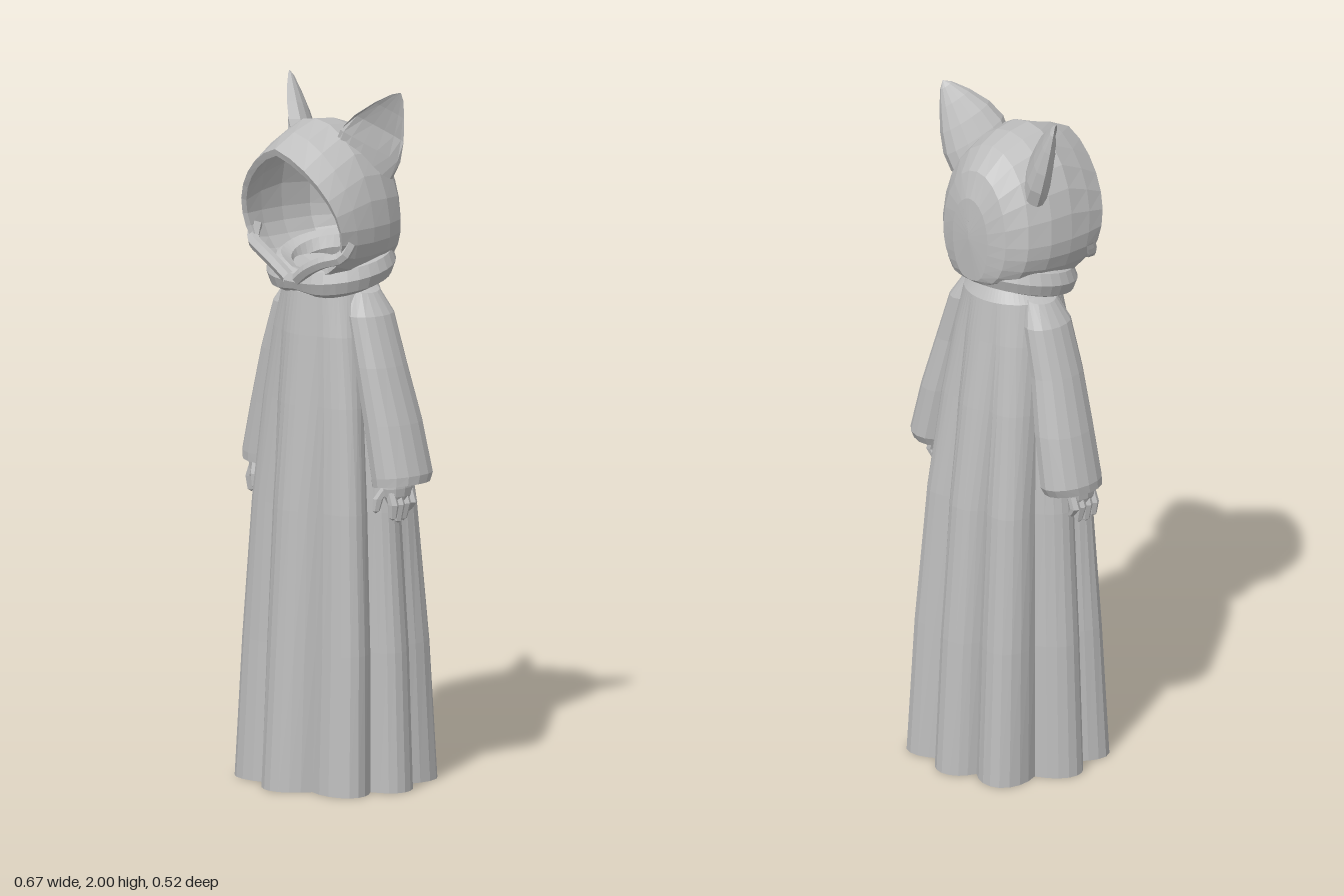
import * as THREE from 'three';

const V = (x, y, z) => new THREE.Vector3(x, y, z);
const cloth = new THREE.MeshStandardMaterial({ color: 0xbdbdbd, side: THREE.DoubleSide });
cloth.name = 'grey cloth';

// Faceted mesh
function part(name, geometry) {
  const g = geometry.index ? geometry.toNonIndexed() : geometry;
  g.computeVertexNormals();
  const mesh = new THREE.Mesh(g, cloth);
  mesh.name = name;
  return mesh;
}

// Skin a list of closed rings that all have the same number of points
function loft(rings) {
  const n = rings[0].length, pos = [], idx = [];
  rings.forEach(r => r.forEach(p => pos.push(p.x, p.y, p.z)));
  for (let k = 0; k < rings.length - 1; k++) {
    for (let i = 0; i < n; i++) {
      const a = k * n + i, b = k * n + (i + 1) % n;
      idx.push(a, b, b + n, a, b + n, a + n);
    }
  }
  const g = new THREE.BufferGeometry();
  g.setAttribute('position', new THREE.Float32BufferAttribute(pos, 3));
  g.setIndex(idx);
  return g;
}

const ring = (n, fn) => Array.from({ length: n }, (_, i) => fn(i / n * Math.PI * 2));

// Robe: eight rounded folds that fade towards the shoulders, with an inner lining
function robe() {
  // y, half width, half depth, z centre, fold depth
  const rows = [
    [1.2, 0.13, 0.11, 0.01, 0], [0.6, 0.18, 0.16, 0, 0.06], [0.01, 0.208, 0.193, 0, 0.09],
    [0, 0.28, 0.26, 0, 0.23], [0.4, 0.266, 0.235, 0, 0.21], [0.8, 0.24, 0.205, 0.005, 0.18],
    [1.1, 0.208, 0.172, 0.012, 0.12], [1.3, 0.175, 0.147, 0.018, 0.06],
    [1.42, 0.145, 0.13, 0.02, 0], [1.47, 0.1, 0.1, 0.02, 0], [1.48, 0, 0, 0.02, 0],
  ];
  return loft(rows.map(([y, rx, rz, cz, fold]) => ring(64, a => {
    const diagonal = Math.sin(2 * a) ** 2;
    const f = (1 + 0.28 * fold * diagonal) * (1 - fold * (1 - Math.abs(Math.cos(4 * a))));
    const turn = a + 0.11 * diagonal * Math.sign(Math.sin(a));
    return V(Math.sin(turn) * rx * f, y, cz + Math.cos(turn) * rz * f);
  })));
}

// Hood: one shell running from the back, round the brim, and back along the lining
function hood() {
  // half width, top, bottom, z at top, z at bottom, brim point
  const rows = [
    [0, 1.64, 1.62, -0.156, -0.156, 0], [0.07, 1.74, 1.49, -0.148, -0.148, 0],
    [0.125, 1.815, 1.48, -0.12, -0.135, 0], [0.172, 1.875, 1.47, -0.06, -0.095, 0],
    [0.198, 1.9, 1.46, 0.01, -0.03, 0], [0.207, 1.908, 1.45, 0.08, 0.04, 0],
    [0.207, 1.88, 1.45, 0.165, 0.1, 0.015], [0.2, 1.842, 1.47, 0.24, 0.148, 0.025],
    [0.186, 1.822, 1.485, 0.234, 0.142, 0.025], [0.192, 1.86, 1.47, 0.15, 0.09, 0.01],
    [0.19, 1.885, 1.47, 0.06, 0.02, 0], [0.168, 1.865, 1.48, -0.04, -0.065, 0],
    [0.115, 1.79, 1.5, -0.105, -0.115, 0], [0, 1.64, 1.62, -0.138, -0.138, 0],
  ];
  const cy = 1.62;
  return loft(rows.map(([w, top, bottom, zt, zb, point]) => ring(24, a => {
    const c = Math.cos(a), s = Math.sin(a);
    const y = c > 0 ? cy + (top - cy) * c - point * Math.abs(Math.sin(2 * a))
      : cy + (cy - bottom) * c;
    const x = c > 0 ? s : Math.sign(s) * Math.pow(Math.abs(s), 0.7);
    const t = (y - bottom) / Math.max(top - bottom, 0.01);
    return V(w * x, y, zb + (zt - zb) * Math.pow(t, 1.4));
  })));
}

// Collar: soft roll round the neck, lower and pinched at the front
function collar() {
  const rings = [];
  for (let k = 0; k <= 32; k++) {
    const a = k / 32 * Math.PI * 2, c = Math.cos(a), s = Math.sin(a);
    const pinch = Math.pow(Math.max(c, 0), 16);
    const high = 0.048 - 0.018 * pinch, deep = 0.042 - 0.014 * pinch;
    rings.push(ring(8, b => {
      const r = Math.cos(b) * deep;
      return V(s * (0.156 + r), 1.483 - 0.032 * c + Math.sin(b) * high, 0.02 + c * (0.126 + r));
    }));
  }
  return loft(rings);
}

// Rolled cloth edge from the cheek to the throat
function lapel() {
  const path = new THREE.CatmullRomCurve3([
    V(0.192, 1.585, 0.128), V(0.18, 1.545, 0.15), V(0.125, 1.525, 0.17),
    V(0.065, 1.495, 0.175), V(0.02, 1.462, 0.17)]);
  return new THREE.TubeGeometry(path, 12, 0.019, 6);
}

// Sleeve: widening tube with a hollow cuff
function sleeve() {
  // x, y, z of the centre, half width, half depth, drop of the outer edge
  const rows = [
    [0.11, 1.445, 0.01, 0, 0, 0], [0.125, 1.43, 0.01, 0.035, 0.05, -0.01],
    [0.15, 1.36, 0.01, 0.052, 0.078, 0], [0.19, 1.22, 0.008, 0.06, 0.085, 0],
    [0.228, 1.06, -0.002, 0.07, 0.095, 0], [0.261, 0.91, -0.006, 0.073, 0.1, 0.008],
    [0.263, 0.885, 0, 0.07, 0.092, 0.008], [0.262, 0.893, 0, 0.058, 0.078, 0.008],
    [0.25, 0.97, -0.004, 0.05, 0.07, 0], [0.25, 0.98, -0.004, 0, 0, 0],
  ];
  return loft(rows.map(([x, y, z, w, d, tilt]) => ring(16, a =>
    V(x + Math.cos(a) * w, y + Math.cos(a) * tilt, z + Math.sin(a) * d))));
}

// Ear: thick leaf facing forwards and outwards, cupped towards the tip
function ear() {
  const across = V(0.45, -0.5, -0.72).normalize();
  const back = V(-0.62, 0.1, -0.52).normalize();
  const spine = new THREE.QuadraticBezierCurve3(
    V(0.128, 1.79, 0.018), V(0.172, 1.89, 0.01), V(0.226, 1.998, -0.035));
  // position along the spine, half width, outer bulge, inner cup
  const rows = [[0, 0.098, 0.06, -0.025], [0.25, 0.1, 0.056, -0.008], [0.5, 0.082, 0.046, 0.012],
    [0.75, 0.05, 0.029, 0.01], [0.93, 0.02, 0.012, 0.003], [1, 0, 0, 0]];
  return loft(rows.map(([t, w, bulge, cup]) => ring(14, a => {
    const round = Math.pow(Math.abs(Math.sin(a)), 0.7);
    const depth = (Math.sin(a) > 0 ? bulge : cup) * round;
    return spine.getPoint(t).addScaledVector(across, w * Math.cos(a)).addScaledVector(back, depth);
  })));
}

// Hand: palm, four fingers and a thumb
function hand() {
  const group = new THREE.Group();
  group.name = 'hand';
  const palm = part('palm', new THREE.SphereGeometry(1, 10, 8));
  palm.scale.set(0.03, 0.06, 0.052);
  palm.position.set(0.272, 0.88, 0.022);
  group.add(palm);
  const digit = (name, points, r) => group.add(part(name, loft(
    points.concat([points[2]]).map((p, k) => {
      const q = [r, r * 1.05, r * 0.75, 0][k];
      return ring(6, a => V(p.x + Math.cos(a) * q, p.y - (k === 3 ? 0.007 : 0), p.z + Math.sin(a) * q));
    }))));
  for (let i = 0; i < 4; i++) {
    const z = 0.055 - i * 0.024, tip = [0.797, 0.787, 0.79, 0.812][i];
    digit('finger', [V(0.277, 0.87, z), V(0.29, 0.835, z), V(0.287 - i * 0.004, tip, z)], 0.0145);
  }
  digit('thumb', [V(0.262, 0.885, 0.055), V(0.248, 0.85, 0.075), V(0.244, 0.815, 0.08)], 0.0145);
  return group;
}

export function createModel() {
  const model = new THREE.Group();
  model.name = 'hooded figure';
  model.add(part('robe', robe()), part('hood', hood()), part('collar', collar()));
  for (const side of [1, -1]) {
    const half = new THREE.Group();
    half.name = side > 0 ? 'leftSide' : 'rightSide';
    half.add(part('sleeve', sleeve()), part('ear', ear()), part('lapel', lapel()), hand());
    half.scale.x = side;
    model.add(half);
  }
  return model;
}
